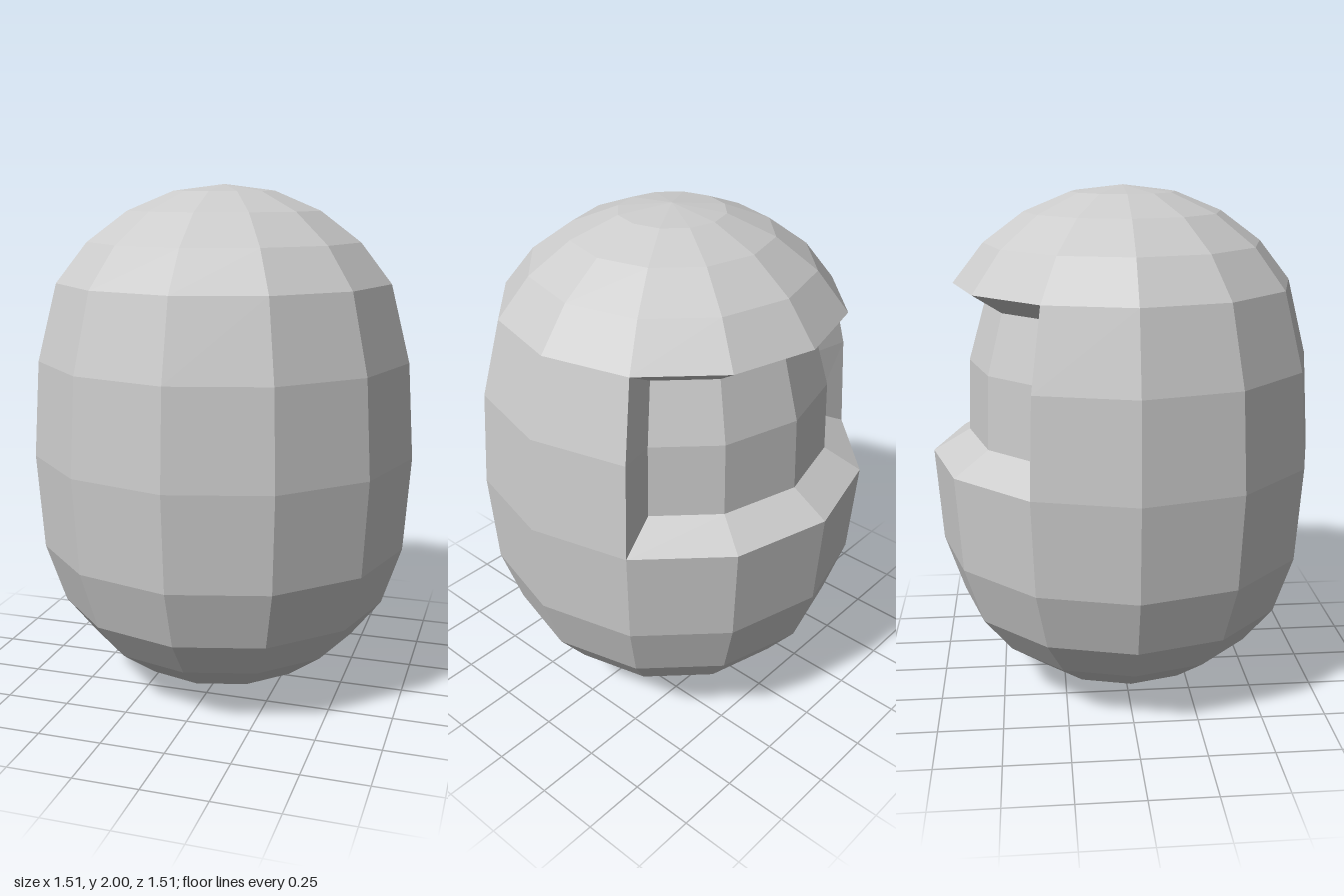
import * as THREE from 'three';

const SIDES = 12;
// radius and height of each ring, bottom to top
const RINGS = [
  [0, 0], [0.2, 0.027], [0.378, 0.1], [0.534, 0.217], [0.654, 0.37], [0.73, 0.6], [0.755, 0.97],
  [0.73, 1.34], [0.654, 1.635], [0.534, 1.787], [0.378, 1.902], [0.2, 1.975], [0, 2],
];
// recess at the back: ring rows and side columns it covers
const ROW = 6, ROWS = 2, COL = 4, COLS = 4;
const INNER_RINGS = [[0.61, 1.055], [0.6, 1.335], [0.535, 1.56]];
const INSET = 0.14;

// Point on a ring; column 0 is at the front, counting towards +x
function ringPoint([r, y], col) {
  const a = (col / SIDES) * Math.PI * 2;
  return new THREE.Vector3(r * Math.sin(a), y, r * Math.cos(a));
}

// Mesh from a list of quads, dropping the empty triangles at the poles
function quadMesh(name, quads) {
  const points = [];
  for (const [a, b, c, d] of quads) {
    for (const tri of [[a, b, c], [a, c, d]]) {
      if (new THREE.Triangle(...tri).getArea() > 1e-6) points.push(...tri);
    }
  }
  const geometry = new THREE.BufferGeometry().setFromPoints(points);
  geometry.computeVertexNormals();
  const mesh = new THREE.Mesh(geometry, new THREE.MeshStandardMaterial({ color: 0xcccccc, flatShading: true }));
  mesh.name = name;
  return mesh;
}

// Quads over a grid of points, with an optional test for cells to leave out
function gridQuads(grid, skip = () => false) {
  const quads = [];
  for (let j = 0; j < grid.length - 1; j++) {
    for (let i = 0; i < grid[j].length - 1; i++) {
      if (!skip(j, i)) quads.push([grid[j][i], grid[j][i + 1], grid[j + 1][i + 1], grid[j + 1][i]]);
    }
  }
  return quads;
}

export function createModel() {
  const group = new THREE.Group();
  group.name = 'capsuleBody';

  // Outer shell with an opening at the back
  const shell = RINGS.map((ring) => Array.from({ length: SIDES + 1 }, (_, i) => ringPoint(ring, i)));
  const inOpening = (j, i) => j >= ROW && j < ROW + ROWS && i >= COL && i < COL + COLS;
  group.add(quadMesh('shell', gridQuads(shell, inOpening)));

  // Sunken panel, its end columns drawn in from the opening's sides
  const panel = INNER_RINGS.map((ring) => {
    const row = Array.from({ length: COLS + 1 }, (_, i) => ringPoint(ring, COL + i));
    row[0].lerp(row[1], INSET);
    row[COLS].lerp(row[COLS - 1], INSET);
    return row;
  });
  group.add(quadMesh('recessPanel', gridQuads(panel)));

  // Sloping walls joining the opening to the panel
  const rim = shell.slice(ROW, ROW + ROWS + 1).map((row) => row.slice(COL, COL + COLS + 1));
  const side = (i) => [rim.map((row) => row[i]), panel.map((row) => row[i])];
  const zip = ([a, b]) => a.map((p, j) => [p, b[j]]);
  group.add(quadMesh('recessLedge', gridQuads([rim[0], panel[0]])));
  group.add(quadMesh('recessCeiling', gridQuads([panel[ROWS], rim[ROWS]])));
  group.add(quadMesh('recessLeftWall', gridQuads(zip(side(0)))));
  group.add(quadMesh('recessRightWall', gridQuads(zip(side(COLS).reverse()))));
  return group;
}
